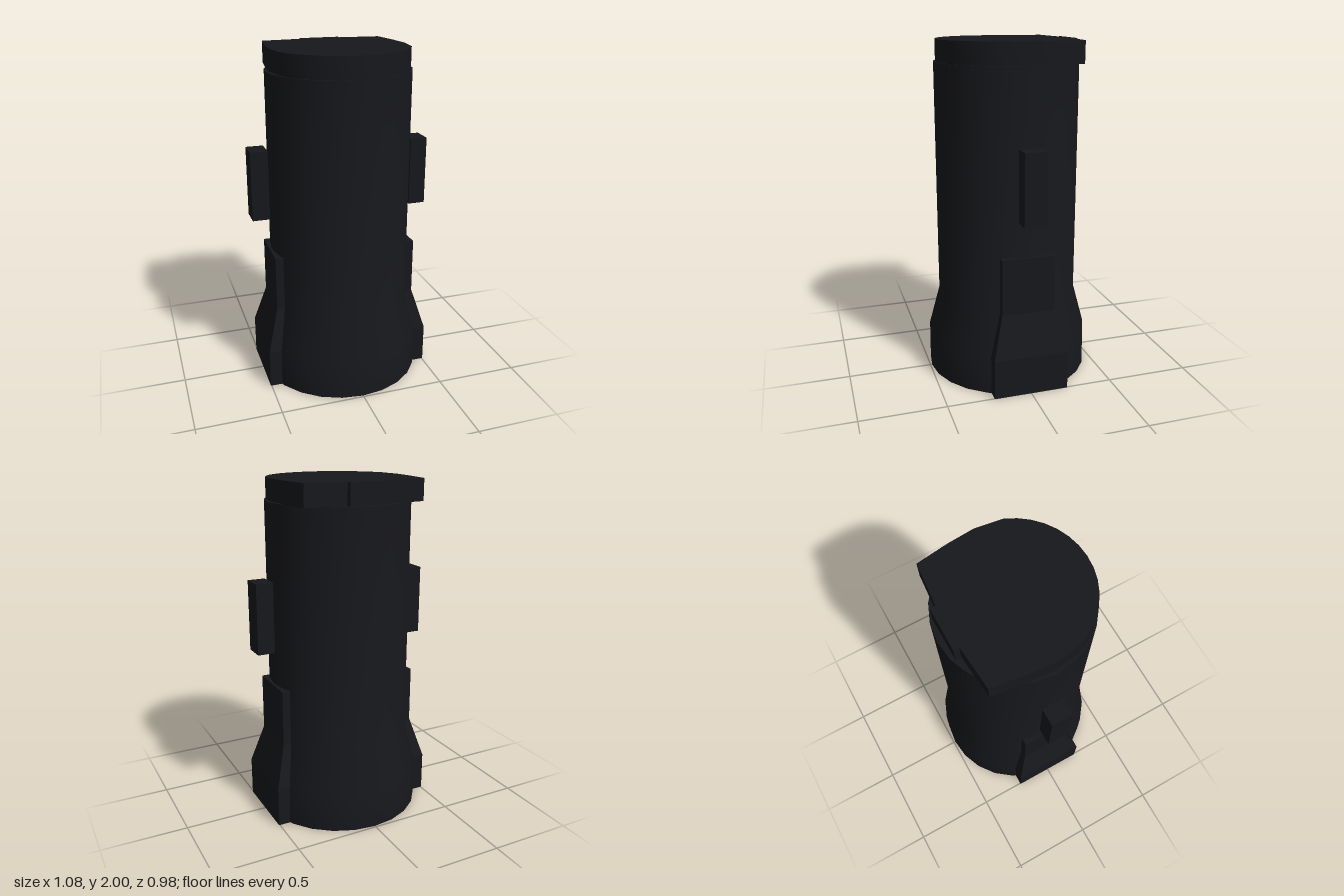
import * as THREE from 'three';
import { toCreasedNormals } from 'three/addons/utils/BufferGeometryUtils.js';

export function createModel() {
  const group = new THREE.Group();
  const dark = new THREE.MeshStandardMaterial({ color: 0x17181c });
  const darkFlat = new THREE.MeshStandardMaterial({ color: 0x17181c, flatShading: true });

  const add = (name, geometry, material) => {
    const mesh = new THREE.Mesh(geometry, material);
    mesh.name = name;
    group.add(mesh);
    return mesh;
  };

  // Round body with a flared foot, closed at both ends
  const profile = [
    [0, 0], [0.49, 0], [0.488, 0.235], [0.422, 0.48], [0.422, 1.875], [0, 1.875],
  ].map(([r, y]) => new THREE.Vector2(r, y));
  add('body', toCreasedNormals(new THREE.LatheGeometry(profile, 24), 0.5), dark);

  // Cap: round at the front, square shoulders and a small step at the back
  // (shape y is -z before the extrusion is laid flat)
  const outline = [];
  const a0 = Math.atan2(0.155, 0.38);
  for (let i = 0; i <= 14; i++) {
    const a = a0 + (Math.PI - 2 * a0) * i / 14;
    outline.push([0.41 * Math.cos(a), -0.41 * Math.sin(a)]);
  }
  const half = [[0.402, 0], [0.39, 0.155], [0.365, 0.335], [0.122, 0.355], [0.122, 0.387]];
  half.forEach(([x, y]) => outline.push([-x, y]));
  half.reverse().forEach(([x, y]) => outline.push([x, y]));
  const capShape = new THREE.Shape(outline.map(([x, y]) => new THREE.Vector2(x, y)));
  const capGeometry = new THREE.ExtrudeGeometry(capShape, { depth: 0.125, bevelEnabled: false });
  capGeometry.rotateX(-Math.PI / 2).translate(0, 1.875, 0);
  add('cap', toCreasedNormals(capGeometry, 0.4), dark);

  // Side plates: levels of height, outer x and half depth, flaring toward the foot
  const levels = [[0, 0.505, 0.223], [0.235, 0.505, 0.223], [0.48, 0.436, 0.157], [0.815, 0.436, 0.157]];
  for (const side of [1, -1]) {
    const label = side > 0 ? 'left' : 'right';
    const plate = new THREE.BoxGeometry(1, 3, 1, 1, 3, 1);
    const p = plate.attributes.position;
    for (let i = 0; i < p.count; i++) {
      const [y, x, z] = levels[Math.round(p.getY(i) + 1.5)];
      const outer = p.getX(i) * side > 0;
      p.setXYZ(i, side * (outer ? x : 0.3), y, Math.sign(p.getZ(i)) * z);
    }
    add(label + 'Plate', plate, darkFlat);

    // Side lug standing just off the body
    add(label + 'Lug', new THREE.BoxGeometry(0.102, 0.412, 0.13), darkFlat)
      .position.set(side * 0.489, 1.234, -0.003);
  }
  return group;
}
